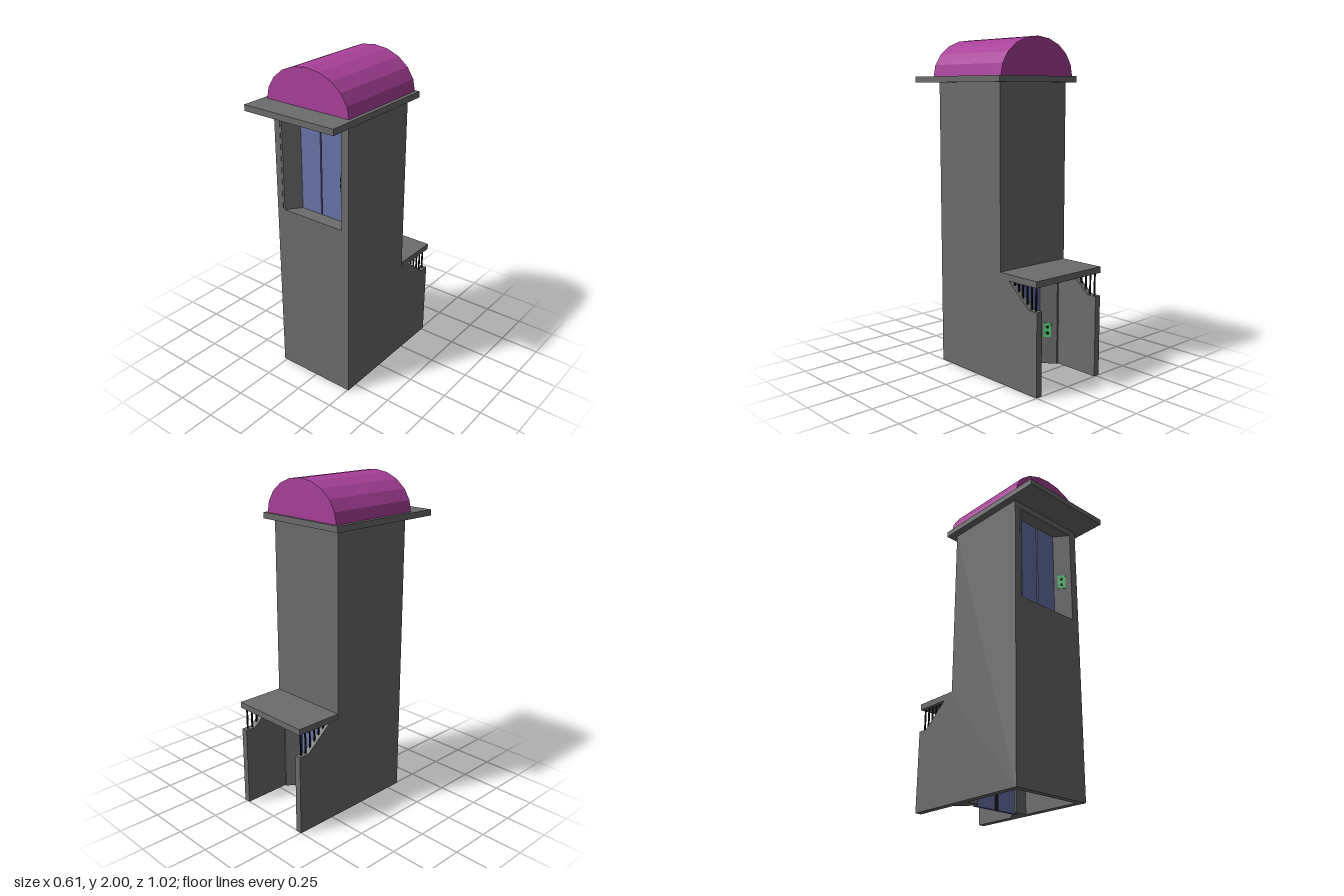
import * as THREE from 'three';

const mat = (color) => new THREE.MeshStandardMaterial({ color, flatShading: true });
const grey = mat(0x6c6c6c), dark = mat(0x1c1c20), purple = mat(0xa9409a);
const blue = mat(0x6a74aa), green = mat(0x4fc873);

function add(parent, name, geometry, material = grey) {
  const mesh = new THREE.Mesh(geometry, material);
  mesh.name = name;
  parent.add(mesh);
  return mesh;
}

// Box given by its minimum and maximum corners
function box(parent, name, [x0, y0, z0], [x1, y1, z1], material) {
  const g = new THREE.BoxGeometry(x1 - x0, y1 - y0, z1 - z0);
  g.translate((x0 + x1) / 2, (y0 + y1) / 2, (z0 + z1) / 2);
  return add(parent, name, g, material);
}

const polygon = (pts) => new THREE.Shape(pts.map(([x, y]) => new THREE.Vector2(x, y)));

const HALF = 0.262, WALL = 0.04, INNER = HALF - WALL;
const FRONT = 0.33, BACK = -0.213, PORCH = -0.51, BASE = 0.007, TOP = 1.742;
const DEPTH = 0.085;

// Splayed recess with sliding doors; the outer wall face is at local z = 0
function doorway(name, y0, y1, doorBottom, panelHeight) {
  const group = new THREE.Group();
  group.name = name;
  for (const s of [-1, 1]) {
    // Plan outline of the jamb, raised to the opening height
    const plan = polygon([
      [s * INNER, 0], [s * 0.21, 0], [s * 0.145, DEPTH],
      [s * 0.145, DEPTH + 0.03], [s * INNER, DEPTH + 0.03],
    ]);
    const jamb = new THREE.ExtrudeGeometry(plan, { depth: y1 - y0, bevelEnabled: false });
    jamb.rotateX(-Math.PI / 2);
    jamb.translate(0, y0, 0);
    add(group, 'doorJamb', jamb);
    box(group, 'doorPanel', [s > 0 ? 0.004 : -0.155, doorBottom, -DEPTH - 0.02],
      [s > 0 ? 0.155 : -0.004, y1, -DEPTH], blue);
  }
  box(group, 'doorSeam', [-0.01, doorBottom, -DEPTH - 0.024], [0.01, y1, -DEPTH - 0.01], dark);

  // Call panel on one jamb
  const panel = new THREE.Group();
  panel.name = 'callPanel';
  box(panel, 'callPlate', [-0.024, -0.045, -0.002], [0.024, 0.045, 0.004], green);
  for (const y of [-0.02, 0.02]) {
    const button = new THREE.CylinderGeometry(0.01, 0.01, 0.003, 10);
    button.rotateX(Math.PI / 2);
    button.translate(0, y, 0.005);
    add(panel, 'callButton', button, dark);
  }
  panel.position.set(0.174, y0 + panelHeight, -0.047);
  panel.rotation.y = -Math.atan2(DEPTH, 0.065);
  group.add(panel);
  return group;
}

export function createModel() {
  const model = new THREE.Group();
  model.name = 'liftTower';

  // Side walls of the shaft, running on into the sloped porch walls
  const profile = polygon([
    [FRONT, BASE], [FRONT, TOP], [BACK, TOP], [BACK, 0.637], [-0.28, 0.637],
    [-0.447, 0.497], [PORCH, 0.497], [PORCH, BASE],
  ]);
  for (const [name, x] of [['leftWall', HALF], ['rightWall', -INNER]]) {
    const g = new THREE.ExtrudeGeometry(profile, { depth: WALL, bevelEnabled: false });
    g.rotateY(-Math.PI / 2);
    g.translate(x, 0, 0);
    add(model, name, g);
  }

  // Front and back walls around the door openings
  box(model, 'frontWall', [-INNER, BASE, FRONT - WALL], [INNER, 1.108, FRONT]);
  box(model, 'frontLintel', [-INNER, 1.703, FRONT - DEPTH - 0.03], [INNER, TOP, FRONT]);
  box(model, 'doorSill', [-INNER, 1.07, FRONT - DEPTH - 0.03], [INNER, 1.108, FRONT - WALL]);
  box(model, 'backWall', [-INNER, 0.6, BACK], [INNER, TOP, BACK + WALL]);
  box(model, 'backLintel', [-INNER, 0.6, BACK + WALL], [INNER, 0.64, BACK + DEPTH + 0.03]);

  // Upper doorway at the front, lower doorway at the back
  const upper = doorway('upperDoorway', 1.108, 1.703, 1.108, 0.262);
  upper.position.set(0.002, 0, FRONT);
  const lower = doorway('lowerDoorway', BASE, 0.6, 0, 0.217);
  lower.position.set(0.002, 0, BACK);
  lower.rotation.y = Math.PI;
  model.add(upper, lower);

  // Porch roof on thin bars
  box(model, 'porchRoof', [-0.261, 0.635, PORCH], [0.266, 0.672, BACK]);
  for (const s of [-1, 1]) {
    for (let i = 0; i < 6; i++) {
      const z = -0.312 - i * 0.0345;
      const foot = Math.max(0.497, 0.637 + (z + 0.28) * 0.84) - 0.01;
      const x = s * (HALF - WALL / 2);
      box(model, 'porchBar', [x - 0.004, foot, z - 0.004], [x + 0.004, 0.637, z + 0.004], dark);
    }
  }

  // Roof slab and barrel vault
  box(model, 'roofSlab', [-0.306, TOP, -0.26], [0.308, 1.778, 0.51]);
  const arch = [];
  for (let i = 0; i <= 10; i++) {
    const a = (i / 10) * Math.PI;
    arch.push([0.002 + 0.284 * Math.cos(a), 1.775 + 0.225 * Math.sin(a)]);
  }
  const vault = new THREE.ExtrudeGeometry(polygon(arch), { depth: 0.602, bevelEnabled: false });
  vault.translate(0, 0, -0.246);
  add(model, 'barrelRoof', vault, purple);

  return model;
}
